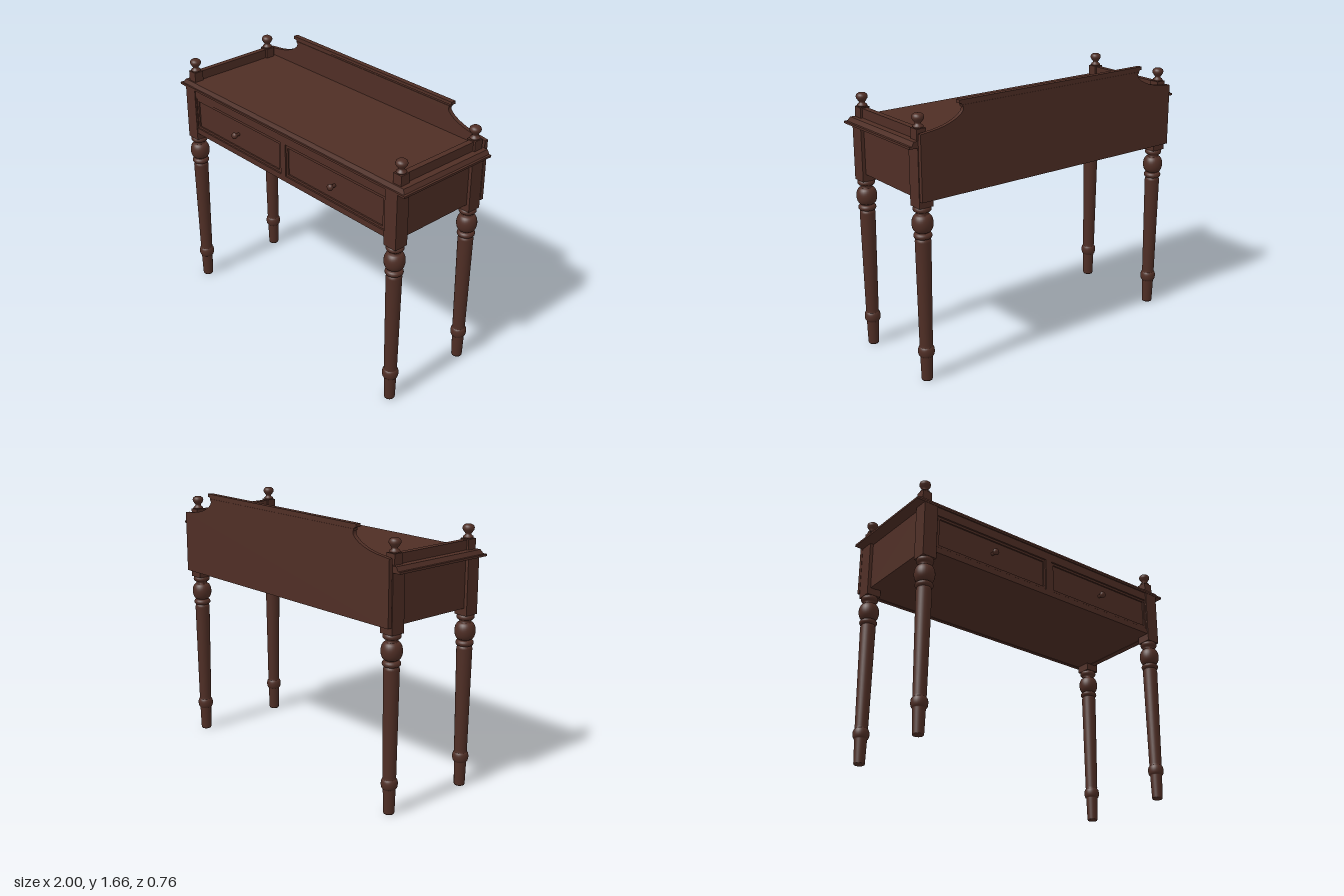
import * as THREE from 'three';

const wood = new THREE.MeshStandardMaterial({ color: 0x4f2e25 });
wood.name = 'dark wood';

function add(parent, name, geometry, x = 0, y = 0, z = 0) {
  const mesh = new THREE.Mesh(geometry, wood);
  mesh.name = name;
  mesh.position.set(x, y, z);
  parent.add(mesh);
  return mesh;
}

// Box given by its limits on each axis
function block(parent, name, x0, x1, y0, y1, z0, z1) {
  return add(parent, name, new THREE.BoxGeometry(x1 - x0, y1 - y0, z1 - z0),
    (x0 + x1) / 2, (y0 + y1) / 2, (z0 + z1) / 2);
}

// Turned part from [radius, height] pairs
function turned(points, sides = 28) {
  return new THREE.LatheGeometry(points.map(([r, y]) => new THREE.Vector2(r, y)), sides);
}

// Rounded bulge between two heights, for turned profiles
function bulge(y0, y1, rEnd, rMid, steps = 10) {
  const out = [];
  for (let i = 0; i <= steps; i++) {
    const a = Math.PI * i / steps;
    out.push([rEnd + (rMid - rEnd) * Math.sin(a), (y0 + y1) / 2 - Math.cos(a) * (y1 - y0) / 2]);
  }
  return out;
}

function rectHole(x0, x1, y0, y1) {
  const p = new THREE.Path();
  p.moveTo(x0, y0);
  p.lineTo(x0, y1);
  p.lineTo(x1, y1);
  p.lineTo(x1, y0);
  p.closePath();
  return p;
}

function rectShape(x0, x1, y0, y1) {
  return new THREE.Shape([[x0, y0], [x1, y0], [x1, y1], [x0, y1]].map(p => new THREE.Vector2(...p)));
}

export function createModel() {
  const model = new THREE.Group();
  model.name = 'writingTable';

  // Turned legs with square posts
  const legGeometry = turned([
    [0, 0], [0.031, 0], [0.033, 0.006], [0.037, 0.15],
    ...bulge(0.155, 0.215, 0.038, 0.049),
    [0.039, 0.23], [0.047, 0.87], [0.043, 0.885],
    ...bulge(0.887, 0.922, 0.036, 0.054, 8),
    ...bulge(0.925, 1.03, 0.034, 0.062, 14),
    [0.036, 1.04],
    ...bulge(1.046, 1.08, 0.038, 0.053, 8), [0, 1.08],
  ]);
  for (const sx of [-1, 1]) for (const sz of [-1, 1]) {
    const leg = new THREE.Group();
    leg.name = (sz > 0 ? 'front' : 'back') + (sx > 0 ? 'Left' : 'Right') + 'Leg';
    leg.position.set(sx * 0.9, 0, sz * 0.302);
    add(leg, 'turnedLeg', legGeometry);
    block(leg, 'post', -0.046, 0.046, 1.078, 1.43, -0.046, 0.046);
    model.add(leg);
  }

  // Carcass: side panels, underside and drawer backing
  for (const s of [-1, 1]) {
    add(model, 'sidePanel', new THREE.BoxGeometry(0.04, 0.304, 0.53), s * 0.905, 1.275, 0);
  }
  block(model, 'underside', -0.9, 0.9, 1.125, 1.145, -0.35, 0.325);

  // Front frame with two drawer openings
  const frame = rectShape(-0.856, 0.856, 1.125, 1.43);
  const openings = [[-0.85, -0.022], [0.022, 0.85]];
  for (const [a, b] of openings) frame.holes.push(rectHole(a, b, 1.163, 1.375));
  add(model, 'frontFrame', new THREE.ExtrudeGeometry(frame, { depth: 0.04, bevelEnabled: false }), 0, 0, 0.302);

  // Drawers: recessed panel, raised rim and knob
  const knob = turned([[0, 0], [0.011, 0], [0.009, 0.018], [0.016, 0.024], [0.021, 0.034],
    [0.019, 0.044], [0.011, 0.05], [0, 0.052]], 20);
  knob.rotateX(Math.PI / 2);
  for (const [a, b] of openings) {
    const drawer = new THREE.Group();
    drawer.name = a < 0 ? 'rightDrawer' : 'leftDrawer';
    block(drawer, 'drawerPanel', a, b, 1.163, 1.375, 0.3, 0.328);
    const rim = rectShape(a + 0.004, b - 0.004, 1.167, 1.371);
    rim.holes.push(rectHole(a + 0.018, b - 0.018, 1.181, 1.357));
    add(drawer, 'drawerRim', new THREE.ExtrudeGeometry(rim, { depth: 0.012, bevelEnabled: false }), 0, 0, 0.325);
    add(drawer, 'knob', knob, (a + b) / 2, 1.27, 0.328);
    model.add(drawer);
  }

  // Top board: flat lip with a sloped upper edge, flush at the back
  block(model, 'topLip', -1, 1, 1.43, 1.443, -0.35, 0.35);
  const upper = new THREE.BoxGeometry(1.97, 0.025, 0.69);
  const pos = upper.attributes.position;
  for (let i = 0; i < pos.count; i++) {
    if (pos.getY(i) > 0) {
      pos.setX(i, pos.getX(i) * 0.985);
      if (pos.getZ(i) > 0) pos.setZ(i, 0.333);
    }
  }
  upper.computeVertexNormals();
  add(model, 'topBoard', upper, 0, 1.4555, -0.005);

  // Side gallery rails with finials
  const finial = turned([[0, 0], [0.026, 0], [0.031, 0.006], [0.028, 0.013], [0.018, 0.02],
    [0.017, 0.028], [0.024, 0.036], [0.033, 0.05], [0.035, 0.06], [0.031, 0.072], [0.02, 0.08], [0, 0.082]], 24);
  for (const s of [-1, 1]) {
    const rail = new THREE.Group();
    rail.name = s > 0 ? 'leftGallery' : 'rightGallery';
    rail.position.x = s * 0.911;
    block(rail, 'rail', -0.018, 0.018, 1.465, 1.525, -0.33, 0.29);
    for (const z of [-0.303, 0.287]) {
      block(rail, 'finialBlock', -0.031, 0.031, 1.465, 1.53, z - 0.031, z + 0.031);
      add(rail, 'finial', finial, 0, 1.53, z);
    }
    model.add(rail);
  }

  // Back board with swept shoulders
  const back = new THREE.Shape();
  back.moveTo(-0.945, 1.123);
  back.lineTo(0.945, 1.123);
  back.lineTo(0.945, 1.51);
  back.lineTo(0.89, 1.517);
  back.bezierCurveTo(0.79, 1.525, 0.7, 1.555, 0.665, 1.598);
  back.bezierCurveTo(0.655, 1.62, 0.67, 1.638, 0.68, 1.645);
  back.lineTo(-0.68, 1.645);
  back.bezierCurveTo(-0.67, 1.638, -0.655, 1.62, -0.665, 1.598);
  back.bezierCurveTo(-0.7, 1.555, -0.79, 1.525, -0.89, 1.517);
  back.lineTo(-0.945, 1.51);
  back.closePath();
  add(model, 'backBoard', new THREE.ExtrudeGeometry(back, { depth: 0.025, bevelEnabled: false, curveSegments: 14 }), 0, 0, -0.378);
  block(model, 'backCap', -0.688, 0.688, 1.643, 1.662, -0.38, -0.347);
  block(model, 'backCapBead', -0.668, 0.668, 1.622, 1.632, -0.38, -0.35);

  return model;
}
